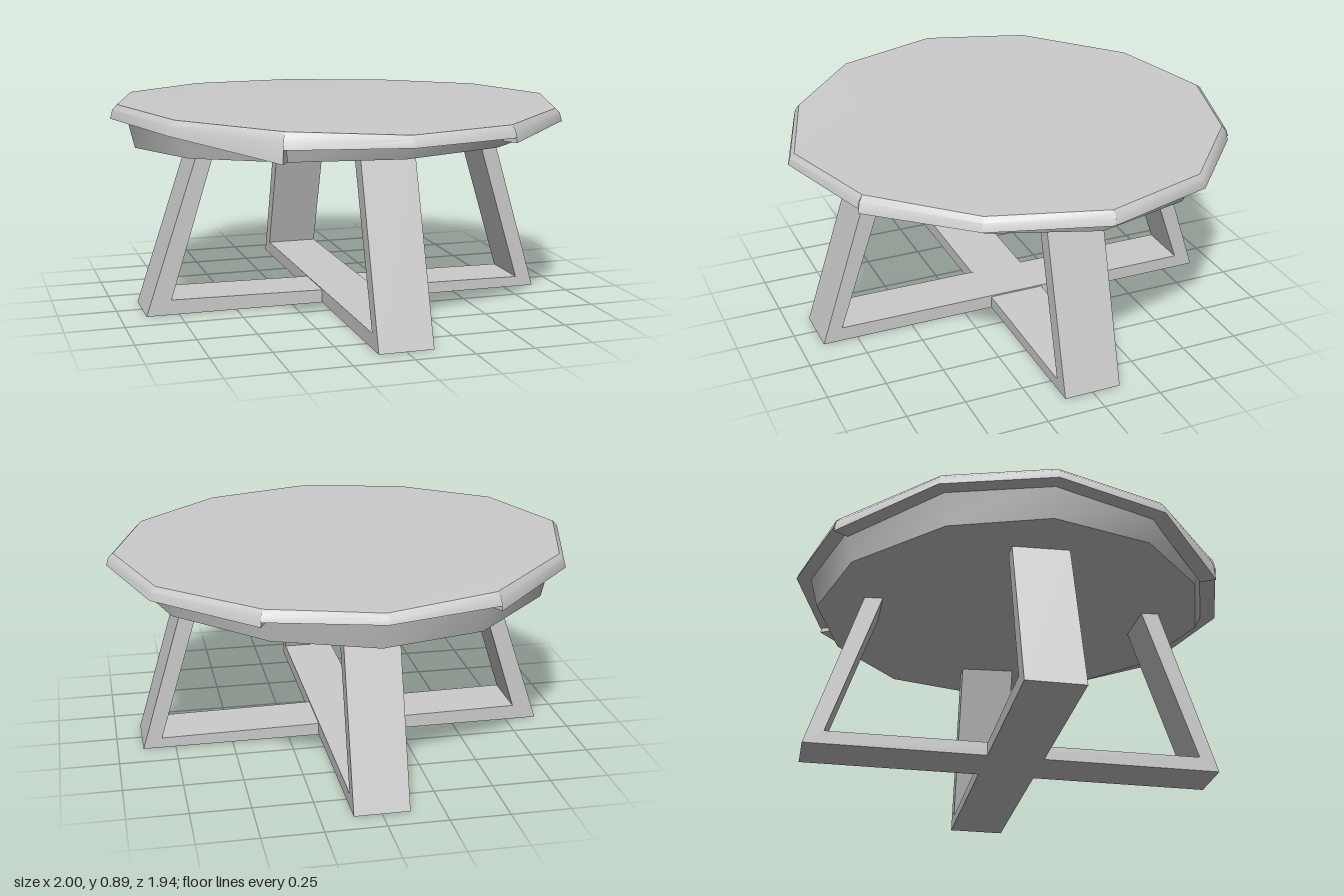
import * as THREE from 'three';
import { toCreasedNormals } from 'three/addons/utils/BufferGeometryUtils.js';

// twelve-sided outline of the top as [x, z], clockwise seen from above
const OUTLINE = [
  [0, -0.968], [0.46, -0.83], [0.85, -0.49], [1, -0.02], [0.85, 0.46], [0.48, 0.825],
  [0, 0.968], [-0.47, 0.815], [-0.84, 0.48], [-1, 0], [-0.87, -0.46], [-0.48, -0.84],
];
const corner = (i) => OUTLINE[(i + 12) % 12];
const topHeight = (x, z) => 0.88 - 0.014 * x - 0.022 * z * z;
const underHeight = (x, z) => 0.725 + 0.02 * x + 0.037 * z;

// a ring of points: outline scaled by s, with height from a rule
const ring = (s, height) => OUTLINE.map(([x, z]) => [x * s, height(x * s, z * s), z * s]);

// skin between successive rings, listed from the top downward
function loft(rings, closed, caps = []) {
  const pos = [];
  const tri = (...pts) => pts.forEach((p) => pos.push(...p));
  for (let r = 0; r < rings.length - 1; r++) {
    const up = rings[r], low = rings[r + 1], n = up.length;
    for (let i = 0; i < (closed ? n : n - 1); i++) {
      const j = (i + 1) % n;
      tri(up[i], up[j], low[j]);
      tri(up[i], low[j], low[i]);
    }
  }
  caps.forEach((c) => tri(...c));
  const geo = new THREE.BufferGeometry();
  geo.setAttribute('position', new THREE.Float32BufferAttribute(pos, 3));
  return toCreasedNormals(geo, 0.6);
}

// triangles from a ring to a centre point
const fan = (pts, centre, up) => pts.map((p, i) => {
  const q = pts[(i + 1) % pts.length];
  return up ? [centre, q, p] : [centre, p, q];
});

export function createModel() {
  const group = new THREE.Group();
  const solid = new THREE.MeshStandardMaterial({ color: 0xcccccc });
  const thin = new THREE.MeshStandardMaterial({ color: 0xcccccc, side: THREE.DoubleSide });
  const add = (name, geo, mat = solid) => {
    const mesh = new THREE.Mesh(geo, mat);
    mesh.name = name;
    group.add(mesh);
    return mesh;
  };

  // top board, slightly domed, and the tapered apron below it
  const rim = ring(0.97, topHeight);
  add('tableTop', loft([], true, fan(rim, [0, 0.88, 0], true)), thin);
  const apronLow = ring(0.9, underHeight);
  const apronTop = ring(0.94, (x, z) => topHeight(x, z) - 0.02);
  add('apron', loft([apronTop, apronLow], true, fan(apronLow, [0, 0.725, 0], false)), thin);

  // edge strips: first corner and the lower-edge height at each corner
  const strips = [
    ['backEdge', 11, [0.82, 0.822, 0.815]],
    ['leftBackEdge', 1, [0.795, 0.81, 0.815]],
    ['leftFrontEdge', 3, [0.812, 0.81, 0.79]],
    ['frontEdge', 5, [0.81, 0.815, 0.805]],
    ['rightEdge', 7, [0.75, 0.825, 0.835, 0.83, 0.8]],
  ];
  for (const [name, first, lows] of strips) {
    const row = (s, height) => lows.map((low, k) => {
      const [x, z] = corner(first + k);
      return [x * s, height(x * s, z * s, low), z * s];
    });
    const rows = [
      row(0.97, topHeight),
      row(0.99, (x, z, low) => topHeight(x, z) * 0.65 + low * 0.35),
      row(1, (x, z, low) => low),
      row(0.925, (x, z, low) => low),
    ];
    // close both ends of the strip
    const caps = [0, lows.length - 1].flatMap((e) => [
      [rows[0][e], rows[1][e], rows[2][e]],
      [rows[0][e], rows[2][e], rows[3][e]],
    ]);
    add(name, loft(rows, false, caps), thin);
  }

  // two crossing base frames: a floor bar with a leaning leg at each end
  const frame = (name, width, foot, pts) => {
    const shape = new THREE.Shape(pts.map(([x, y]) => new THREE.Vector2(x, y)));
    const geo = new THREE.ExtrudeGeometry(shape, { depth: width, bevelEnabled: false });
    geo.translate(0, 0, -width / 2);
    return add(name, geo);
  };
  frame('sideLegFrame', 0.245, 0.89, [
    [-0.89, 0], [0.89, 0], [0.66, 0.78], [0.588, 0.78], [0.808, 0.045],
    [-0.782, 0.065], [-0.56, 0.78], [-0.63, 0.78],
  ]);
  const cross = frame('frontBackLegFrame', 0.23, 0.9, [
    [-0.9, 0], [0.9, 0], [0.647, 0.78], [0.567, 0.78], [0.815, 0.062],
    [-0.812, 0.058], [-0.565, 0.78], [-0.645, 0.78],
  ]);
  cross.rotation.y = -Math.PI / 2;

  return group;
}
